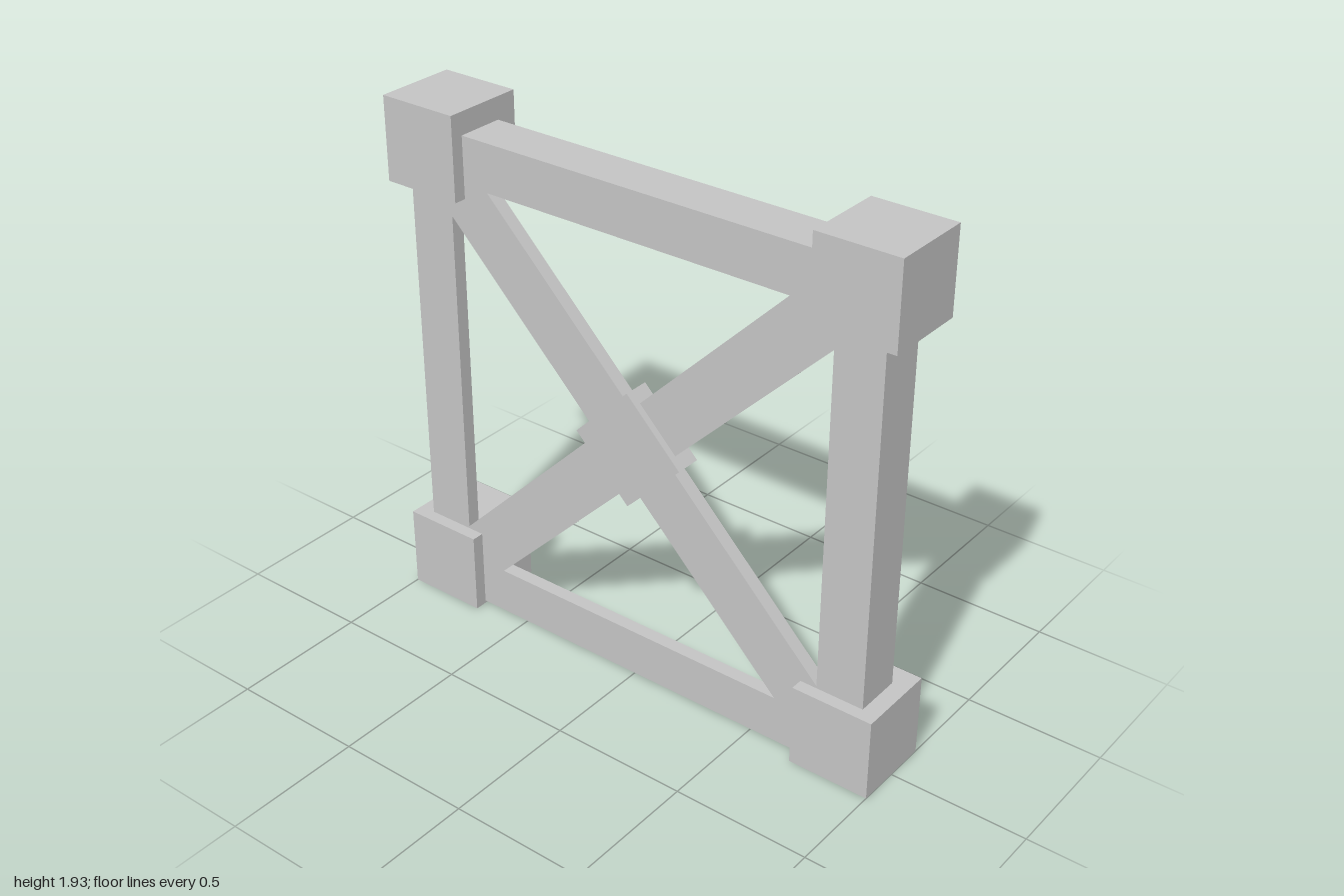
import * as THREE from 'three';

export function createModel() {
  const group = new THREE.Group();
  const grey = new THREE.MeshStandardMaterial({ color: 0xc4c4c4 });
  const midY = 0.9275;
  const webX = -0.105, webDepth = 0.05;

  function add(name, geometry, x, y, z) {
    const mesh = new THREE.Mesh(geometry, grey);
    mesh.name = name;
    mesh.position.set(x, y, z);
    group.add(mesh);
    return mesh;
  }

  // Flat web with crossed braces: a square plate with four triangular openings
  const outerZ = 0.938, outerY = 0.9175;
  const plate = new THREE.Shape([
    [-outerZ, -outerY], [outerZ, -outerY], [outerZ, outerY], [-outerZ, outerY],
  ].map(([u, v]) => new THREE.Vector2(u, v)));
  const slant = 0.145; // brace half width measured along an axis
  for (const s of [-1, 1]) {
    const side = 0.76, cap = 0.7425;
    plate.holes.push(new THREE.Path([
      new THREE.Vector2(s * slant, 0),
      new THREE.Vector2(s * side, side - slant),
      new THREE.Vector2(s * side, slant - side),
    ]));
    plate.holes.push(new THREE.Path([
      new THREE.Vector2(0, s * slant),
      new THREE.Vector2(cap - slant, s * cap),
      new THREE.Vector2(slant - cap, s * cap),
    ]));
  }
  const web = new THREE.ExtrudeGeometry(plate, { depth: webDepth, bevelEnabled: false });
  web.rotateY(Math.PI / 2);
  add('crossBracedWeb', web, webX, midY, 0);

  // Outer flanges turn the frame edges into angle beams
  const flangeWidth = 0.175, flangeX = webX + flangeWidth / 2, thick = 0.046;
  for (const s of [-1, 1]) {
    add(s > 0 ? 'topFlange' : 'bottomFlange',
      new THREE.BoxGeometry(flangeWidth, thick, 1.7),
      flangeX, midY + s * (outerY - thick / 2), 0);
    add(s > 0 ? 'frontPostFlange' : 'backPostFlange',
      new THREE.BoxGeometry(flangeWidth, 1.6, thick),
      flangeX, midY, s * (outerZ - thick / 2));
  }

  // Corner blocks
  for (const z of [-0.849, 0.849]) {
    for (const y of [0.152, 1.774]) {
      add('cornerBlock', new THREE.BoxGeometry(0.302, 0.304, 0.302), 0, y, z);
    }
  }

  // Diamond plate over the crossing
  const hub = add('centrePlate', new THREE.BoxGeometry(0.096, 0.304, 0.304), -0.082, midY, 0);
  hub.rotation.x = Math.PI / 4;

  return group;
}
